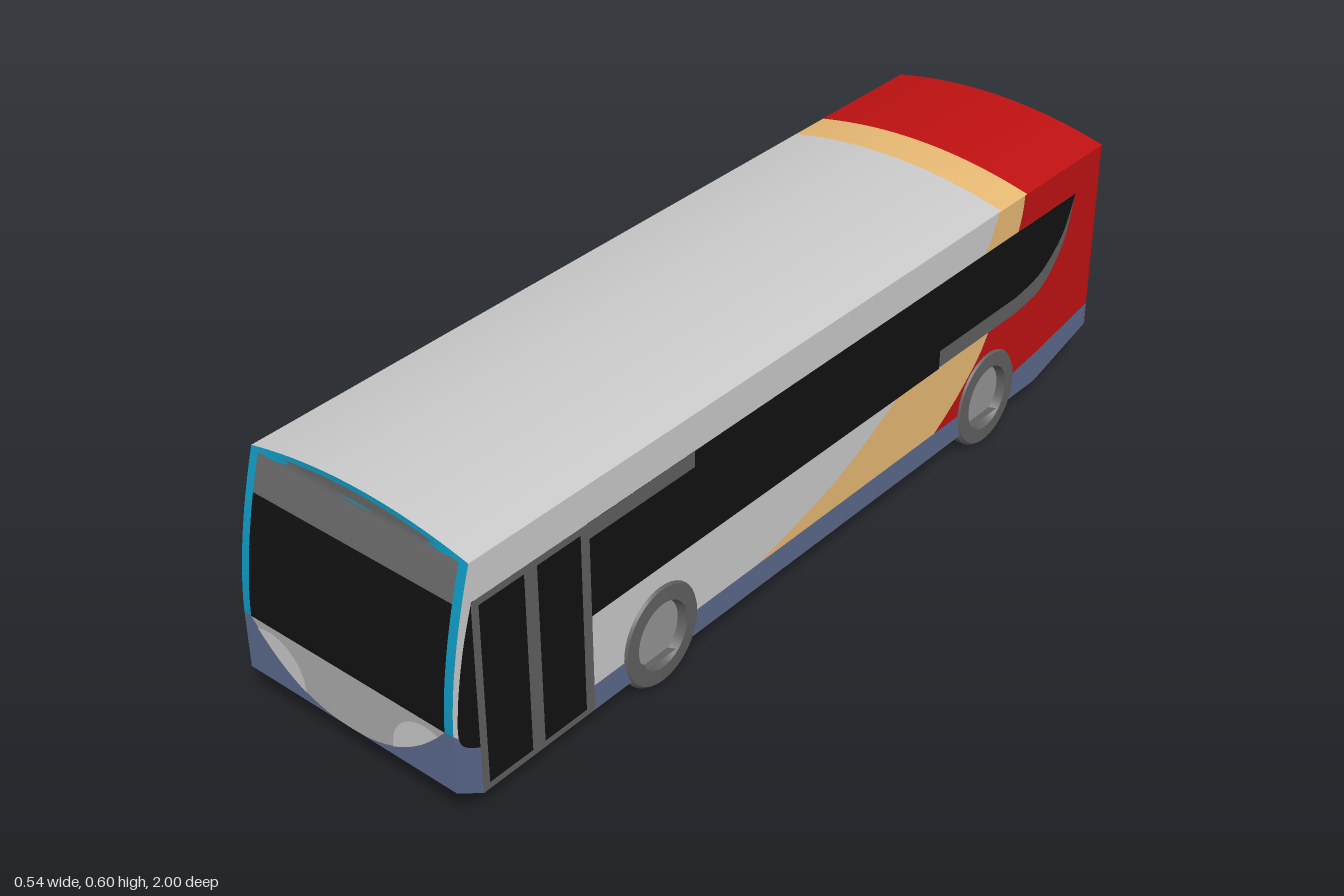
import * as THREE from 'three';

const LIGHT = 0xcccccc, PANEL = 0xadadad, DARK = 0x606060, BLACK = 0x111111, SLATE = 0x5c6a8e;
const RED = 0xc01111, TAN = 0xe8ba74, TEAL = 0x0e99c2;
const HALF = 0.266, STEP = 0.0006;          // half width, spacing between paint layers
const WHEELS = [[0.457, 0.123], [-0.607, 0.117]]; // z, y of the axles

const roofY = x => 0.57 + 0.032 * (1 - (x / 0.268) ** 2);
const frontZ = y => y <= 0.235 ? 0.997 : 0.997 - 0.062 * Math.min(1, (y - 0.235) / 0.335) ** 1.7;
const lerp = THREE.MathUtils.lerp;

function add(group, name, geometry, color) {
  const material = new THREE.MeshStandardMaterial({ color, side: THREE.DoubleSide });
  const mesh = new THREE.Mesh(geometry, material);
  mesh.name = name;
  group.add(mesh);
  return mesh;
}

// Surface from a rule (u, v) -> [x, y, z]
function grid(nu, nv, rule) {
  const pos = [], idx = [];
  for (let j = 0; j <= nv; j++)
    for (let i = 0; i <= nu; i++) {
      pos.push(...rule(i / nu, j / nv));
      if (i < nu && j < nv) {
        const a = j * (nu + 1) + i, b = a + nu + 1;
        idx.push(a, a + 1, b + 1, a, b + 1, b);
      }
    }
  const g = new THREE.BufferGeometry();
  g.setAttribute('position', new THREE.Float32BufferAttribute(pos, 3));
  g.setIndex(idx);
  g.computeVertexNormals();
  return g;
}

const flat = pts => new THREE.ShapeGeometry(new THREE.Shape(pts.map(p => new THREE.Vector2(p[0], p[1]))));
const spline = (pts, n = 20) =>
  new THREE.SplineCurve(pts.map(p => new THREE.Vector2(...p))).getPoints(n).map(p => [p.x, p.y]);

// Flat piece on a flank, outlined by [z, y] points
function flank(group, name, side, layer, color, pts) {
  const g = flat(pts.map(([z, y]) => [-z, y])).rotateY(Math.PI / 2);
  g.translate(side * (HALF + layer * STEP), 0, 0);
  return add(group, name, g, color);
}

// Flat piece on the tail, outlined by [x, y] points
const tail = (group, name, layer, color, pts) =>
  add(group, name, flat(pts).translate(0, 0, -0.997 - layer * STEP), color);

// Piece following the curved nose between two heights
const nose = (group, name, layer, color, x0, x1, low, high) =>
  add(group, name, grid(32, 14, (u, v) => {
    const x = lerp(x0, x1, u), y = lerp(low(x), high(x), v);
    return [x, y, frontZ(y) + layer * STEP];
  }), color);

// Wheel cutout running from front to rear along the lower edge
const notch = ([z, y]) => [[z + 0.088, 0.064], [z + 0.088, y + 0.02], [z + 0.05, y + 0.08],
  [z - 0.05, y + 0.08], [z - 0.088, y + 0.02], [z - 0.088, 0.064]];

const redEdge = spline([[-0.705, 0.57], [-0.69, 0.49], [-0.6, 0.28], [-0.52, 0.19], [-0.42, 0.12], [-0.33, 0.08]]);
const tanEdge = spline([[-0.61, 0.57], [-0.57, 0.49], [-0.45, 0.37], [-0.275, 0.28], [-0.08, 0.185], [0.17, 0.12], [0.3, 0.1]], 30);
const windowEnd = spline([[-0.905, 0.49], [-0.865, 0.405], [-0.79, 0.345], [-0.7, 0.325]]);
const frameEnd = spline([[-0.905, 0.49], [-0.875, 0.385], [-0.8, 0.305], [-0.7, 0.284]]);
const cabFront = spline([[0.935, 0.49], [0.962, 0.4], [0.982, 0.29], [0.982, 0.21], [0.935, 0.17]]);

function buildFlank(group, side) {
  const noseEdge = [...Array(13)].map((_, i) => { const y = lerp(0.57, 0.235, i / 12); return [frontZ(y), y]; });
  flank(group, 'sideWall', side, 0, LIGHT, [[-0.997, 0.57], ...noseEdge, [0.997, 0.107], [0.935, 0.064],
    ...notch(WHEELS[0]), ...notch(WHEELS[1]), [-0.8, 0.064], [-0.997, 0.12]]);
  flank(group, 'tanSweep', side, 1, TAN, [...tanEdge, ...[...redEdge].reverse()]);
  flank(group, 'redRearPaint', side, 1, RED, [[-0.997, 0.57], ...redEdge, [-0.33, 0.064],
    ...notch(WHEELS[1]), [-0.8, 0.064], [-0.997, 0.12]]);

  // Skirt, split by the wheels
  const [f, r] = WHEELS.map(w => w[0]);
  flank(group, 'frontSkirt', side, 2, SLATE, [[0.997, 0.235], [0.935, 0.17], [0.75, 0.17], [0.75, 0.12],
    [f + 0.088, 0.12], [f + 0.088, 0.064], [0.935, 0.064], [0.997, 0.107]]);
  flank(group, 'middleSkirt', side, 2, SLATE, [[f - 0.088, 0.12], [f - 0.088, 0.064], [r + 0.088, 0.064], [r + 0.088, 0.12]]);
  flank(group, 'rearSkirt', side, 2, SLATE, [[r - 0.088, 0.125], [r - 0.088, 0.064], [-0.8, 0.064],
    [-0.997, 0.12], [-0.997, 0.172], [-0.8, 0.138]]);

  // Glass band with a dark frame under its rear end
  const front = side > 0 ? 0.65 : 0.76;
  flank(group, 'rearWindowFrame', side, 3, DARK, [...frameEnd, [-0.42, 0.284], [-0.42, 0.49]]);
  flank(group, 'sideWindows', side, 4, BLACK, [[front, 0.49], ...windowEnd, [-0.42, 0.325], [-0.42, 0.282], [front, 0.282]]);
  const back = side > 0 ? 0.93 : 0.747;
  flank(group, 'cabWindow', side, 4, BLACK, [[back, 0.49], ...cabFront, [back, 0.17]]);

  // Entrance on one side only
  if (side > 0) {
    flank(group, 'windowVent', side, 5, DARK, [[0.65, 0.49], [0.36, 0.49], [0.36, 0.455], [0.65, 0.455]]);
    flank(group, 'doorFrame', side, 5, DARK, [[0.937, 0.49], [0.645, 0.49], [0.645, 0.066], [0.937, 0.066]]);
    for (const z of [0.865, 0.723])
      flank(group, 'doorGlass', side, 6, BLACK, [[z + 0.055, 0.475], [z - 0.055, 0.475], [z - 0.055, 0.08], [z + 0.055, 0.08]]);
  }
}

function buildNose(group) {
  const at = y => () => y;
  const scoop = x => 0.107 + 0.128 * Math.min(1, Math.abs(x) / 0.248) ** 2.3;
  nose(group, 'bumper', 0, SLATE, -0.268, 0.268, at(0.107), at(0.235));
  nose(group, 'windscreenSurround', 0, TEAL, -0.268, 0.268, at(0.235), roofY);
  nose(group, 'windscreen', 2, BLACK, -0.248, 0.248, at(0.235), at(0.49));
  nose(group, 'headerPanel', 2, 0x686868, -0.248, 0.248, at(0.49), x => roofY(x) - 0.01);
  nose(group, 'nosePanel', 2, PANEL, -0.248, 0.248, scoop, at(0.235));
  for (const s of [-1, 1])
    nose(group, 'headlight', 4, LIGHT, s * 0.112, s * 0.236, scoop, x =>
      Math.max(scoop(x), 0.13 + 0.092 * Math.sqrt(Math.max(0, 1 - ((Math.abs(x) - 0.2) / 0.088) ** 2))));
}

function buildTail(group) {
  const arch = (w, low, top) => [[-w, low], ...[...Array(21)].map((_, i) => {
    const x = lerp(-w, w, i / 20); return [x, top(x)];
  }), [w, low]];
  tail(group, 'rearPanel', 0, RED, arch(0.268, 0.12, roofY));
  tail(group, 'rearBumper', 1, SLATE, arch(0.268, 0.12, () => 0.172));
  tail(group, 'rearWindow', 1, BLACK, arch(0.222, 0.41, x => 0.51 + 0.048 * (1 - Math.abs(x / 0.222) ** 2.6)));
  tail(group, 'rearBand', 1, DARK, arch(0.222, 0.325, () => 0.415));
  for (const s of [-1, 1]) {
    tail(group, 'lampPlate', 2, PANEL, [[0.222, 0.335], [0.222, 0.41], [0.152, 0.41], [0.152, 0.335]].map(([x, y]) => [s * x, y]));
    const lamp = new THREE.CircleGeometry(0.024, 24).translate(s * 0.187, 0.372, -0.997 - 3 * STEP);
    add(group, 'tailLamp', lamp, RED);
    const lens = spline([[0.236, 0.31], [0.243, 0.26], [0.225, 0.215], [0.195, 0.195]], 12)
      .concat(spline([[0.193, 0.23], [0.205, 0.285], [0.236, 0.31]], 10));
    tail(group, 'reflector', 2, PANEL, lens.map(([x, y]) => [s * x, y]));
  }
}

function buildWheel(group, side, [z, y]) {
  const wheel = new THREE.Group();
  wheel.name = 'wheel';
  const lathe = pts => new THREE.LatheGeometry(pts.map(p => new THREE.Vector2(...p)), 40).rotateZ(-Math.PI / 2);
  const parts = [
    ['tyreTread', DARK, [[0.115, 0], [0.115, 0.1]]],
    ['tyreShoulder', DARK, [[0.115, 0.1], [0.108, 0.108]]],
    ['tyreWall', DARK, [[0.108, 0.108], [0.075, 0.109]]],
    ['tyreLip', DARK, [[0.075, 0.109], [0.069, 0.09]]],
    ['rim', 0x959595, [[0.069, 0.09], [0.0001, 0.09]]],
    ['innerFace', DARK, [[0.0001, 0], [0.115, 0]]],
  ];
  for (const [name, color, pts] of parts) add(wheel, name, lathe(pts), color);
  wheel.rotation.y = side > 0 ? 0 : Math.PI;
  wheel.scale.z = 0.92;
  wheel.position.set(side * 0.163, y, z);
  group.add(wheel);
}

export function createModel() {
  const bus = new THREE.Group();
  bus.name = 'bus';

  // Arched roof in three painted lengths
  for (const [name, z0, z1, color] of [['roof', -0.615, 0.935, LIGHT], ['roofTanBand', -0.71, -0.615, TAN], ['roofRedRear', -0.998, -0.71, RED]])
    add(bus, name, grid(24, 1, (u, v) => {
      const x = lerp(-0.268, 0.268, u);
      return [x, roofY(x), lerp(z1, z0, v)];
    }), color);

  // Underside with raised ends
  const belly = [[-0.998, 0.12], [-0.8, 0.064], [0.935, 0.064], [0.998, 0.107]];
  for (let i = 0; i < 3; i++)
    add(bus, i === 2 ? 'bumperUnderside' : 'underside', grid(1, 1, (u, v) =>
      [lerp(-0.268, 0.268, u), lerp(belly[i][1], belly[i + 1][1], v), lerp(belly[i][0], belly[i + 1][0], v)]),
    i === 2 ? SLATE : DARK);

  buildNose(bus);
  buildTail(bus);
  for (const side of [-1, 1]) {
    buildFlank(bus, side);
    for (const w of WHEELS) buildWheel(bus, side, w);
  }
  return bus;
}
